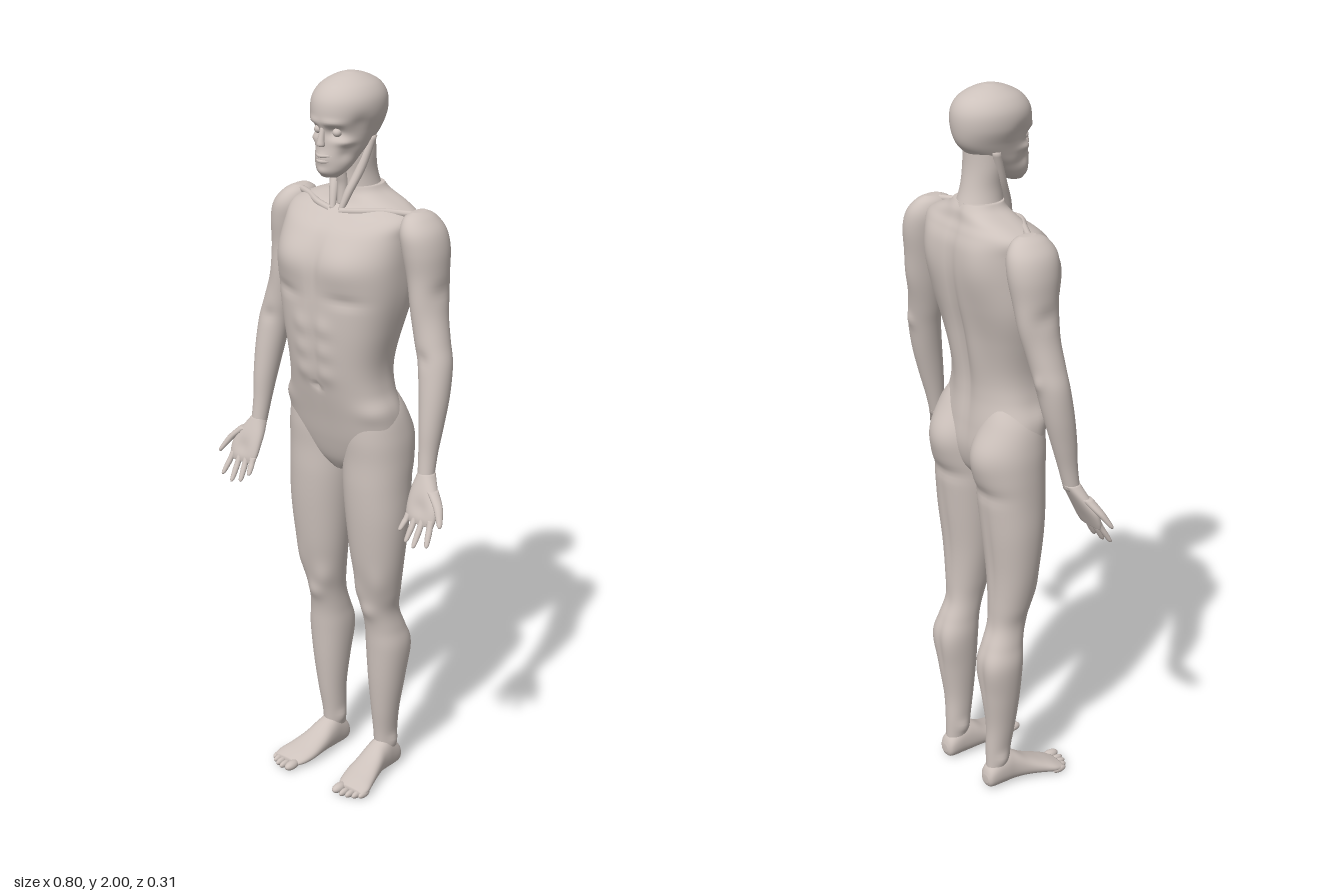
import * as THREE from 'three';

const skin = new THREE.MeshStandardMaterial({ color: 0xcdc2bc });
skin.name = 'pale clay';

// Smooth loft through horizontal cross-sections [y, xMin, xMax, zBack, zFront], listed bottom to top.
function loft(sections, { segs = 40, steps = 6, power = 0.9 } = {}) {
  const pos = [], index = [], n = sections.length;
  const at = i => sections[Math.min(n - 1, Math.max(0, i))];
  const spline = (a, b, c, d, t) =>
    0.5 * (2 * b + (c - a) * t + (2 * a - 5 * b + 4 * c - d) * t * t + (3 * b - a - 3 * c + d) * t * t * t);
  const bend = v => Math.sign(v) * Math.abs(v) ** power;
  const rows = (n - 1) * steps;
  const centres = [];
  for (let r = 0; r <= rows; r++) {
    const i = Math.min(n - 2, Math.floor(r / steps)), t = r / steps - i;
    const [y, x0, x1, z0, z1] = at(i).map((v, k) => spline(at(i - 1)[k], v, at(i + 1)[k], at(i + 2)[k], t));
    const cx = (x0 + x1) / 2, cz = (z0 + z1) / 2;
    centres.push([cx, y, cz]);
    for (let j = 0; j < segs; j++) {
      const a = (j / segs) * Math.PI * 2;
      pos.push(cx + bend(Math.sin(a)) * (x1 - x0) / 2, y, cz + bend(Math.cos(a)) * (z1 - z0) / 2);
    }
  }
  for (let r = 0; r < rows; r++) for (let j = 0; j < segs; j++) {
    const k = (j + 1) % segs, a = r * segs + j, b = r * segs + k;
    index.push(a, b, a + segs, b, b + segs, a + segs);
  }
  // end caps
  const low = pos.length / 3, top = rows * segs;
  pos.push(...centres[0], ...centres[rows]);
  for (let j = 0; j < segs; j++) {
    const k = (j + 1) % segs;
    index.push(low, k, j, low + 1, top + j, top + k);
  }
  const geo = new THREE.BufferGeometry();
  geo.setAttribute('position', new THREE.Float32BufferAttribute(pos, 3));
  geo.setIndex(index);
  geo.computeVertexNormals();
  return geo;
}

// Push the surface out (or in) around soft spots [x, y, z, rx, ry, rz, amount], same on both sides.
function sculpt(geo, spots) {
  const p = geo.attributes.position, nm = geo.attributes.normal;
  for (let i = 0; i < p.count; i++) {
    const x = p.getX(i), y = p.getY(i), z = p.getZ(i);
    let d = 0;
    for (const [sx, sy, sz, rx, ry, rz, amount] of spots)
      d += amount * Math.exp(-(((Math.abs(x) - sx) / rx) ** 2) - ((y - sy) / ry) ** 2 - ((z - sz) / rz) ** 2);
    p.setXYZ(i, x + nm.getX(i) * d, y + nm.getY(i) * d, z + nm.getZ(i) * d);
  }
  geo.computeVertexNormals();
  return geo;
}

// Tapering round strand through [x, y, z, radius], bottom to top.
const strand = pts => loft(pts.map(([x, y, z, r]) => [y, x - r, x + r, z - r, z + r]), { segs: 14, steps: 5, power: 1 });
const ball = (x, y, z, rx, ry, rz) => new THREE.SphereGeometry(1, 20, 14).scale(rx, ry, rz).translate(x, y, z);
const tube = (pts, r) => new THREE.TubeGeometry(
  new THREE.CatmullRomCurve3(pts.map(p => new THREE.Vector3(...p))), 24, r, 10);
const even = list => list.map(([y, w, z0, z1]) => [y, -w, w, z0, z1]);

function flip(geo) {
  const g = geo.clone().scale(-1, 1, 1), ix = g.index.array;
  for (let i = 0; i < ix.length; i += 3) [ix[i], ix[i + 1]] = [ix[i + 1], ix[i]];
  return g;
}

export function createModel() {
  const model = new THREE.Group();
  model.name = 'standingFigure';
  const add = (name, geo) => {
    const mesh = new THREE.Mesh(geo, skin);
    mesh.name = name;
    model.add(mesh);
  };
  const pair = (name, geo) => { add('left' + name, geo); add('right' + name, flip(geo)); };

  // Torso: pelvis, waist, ribcage and shoulder girdle
  add('torso', sculpt(loft(even([
    [0.93, 0.03, -0.06, 0.03], [0.97, 0.11, -0.09, 0.055], [1.03, 0.165, -0.105, 0.075], [1.10, 0.172, -0.1, 0.092],
    [1.18, 0.150, -0.09, 0.112], [1.25, 0.146, -0.092, 0.125], [1.35, 0.165, -0.11, 0.133], [1.45, 0.184, -0.135, 0.134],
    [1.53, 0.19, -0.147, 0.13], [1.60, 0.19, -0.146, 0.1], [1.64, 0.19, -0.135, 0.06], [1.665, 0.15, -0.125, 0.025],
    [1.69, 0.085, -0.12, 0.01], [1.71, 0.065, -0.11, 0.005],
  ]), { segs: 96, steps: 9, power: 0.82 }), [
    [0.085, 1.53, 0.13, 0.07, 0.055, 0.09, 0.012],                      // chest muscles
    [0, 1.53, 0.13, 0.014, 0.08, 0.06, -0.007],                         // breastbone groove
    ...[1.23, 1.295, 1.36].map(y => [0.036, y, 0.13, 0.026, 0.026, 0.06, 0.006]),
    [0, 1.3, 0.13, 0.009, 0.12, 0.05, -0.004], [0, 1.19, 0.115, 0.009, 0.009, 0.04, -0.008],
    [0.1, 1.44, 0.13, 0.05, 0.015, 0.06, -0.006],                       // rib arch
    [0.1, 1.57, -0.14, 0.055, 0.09, 0.06, 0.011],                       // shoulder blades
    [0.045, 1.28, -0.1, 0.03, 0.14, 0.05, 0.009],                       // lower back columns
    [0, 1.38, -0.13, 0.016, 0.3, 0.06, -0.011],                         // spine groove
    [0.16, 1.42, -0.04, 0.05, 0.09, 0.07, 0.006],                       // flanks
    [0.145, 1.13, 0.04, 0.04, 0.025, 0.06, 0.007],                      // hip crests
  ]));

  // Legs, from buttock to ankle
  pair('Leg', sculpt(loft([
    [0.05, 0.072, 0.122, -0.1, -0.03], [0.12, 0.066, 0.126, -0.1, -0.025], [0.2, 0.062, 0.137, -0.1, -0.014],
    [0.3, 0.053, 0.152, -0.113, -0.004], [0.4, 0.046, 0.162, -0.122, 0.002], [0.46, 0.048, 0.153, -0.108, 0.006],
    [0.52, 0.048, 0.146, -0.09, 0.018], [0.58, 0.04, 0.158, -0.085, 0.03], [0.68, 0.025, 0.175, -0.087, 0.05],
    [0.8, 0.012, 0.187, -0.1, 0.064], [0.9, 0.004, 0.188, -0.11, 0.07], [0.98, 0.003, 0.188, -0.12, 0.07],
    [1.05, 0.006, 0.184, -0.12, 0.073], [1.12, 0.02, 0.168, -0.095, 0.068], [1.17, 0.05, 0.135, -0.07, 0.05],
  ], { segs: 56, steps: 7, power: 0.95 }), [
    [0.085, 1.02, -0.12, 0.06, 0.06, 0.07, 0.014],                      // buttock
    [0.09, 0.925, -0.11, 0.07, 0.02, 0.05, -0.007],                     // buttock crease
    [0.097, 0.525, 0.02, 0.025, 0.025, 0.03, 0.007],                    // kneecap
    [0.065, 0.58, 0.02, 0.025, 0.04, 0.03, 0.007], [0.14, 0.62, 0.03, 0.025, 0.05, 0.03, 0.005],
    [0.07, 0.39, -0.11, 0.025, 0.07, 0.04, 0.006], [0.135, 0.4, -0.11, 0.025, 0.06, 0.04, 0.005],
    [0.1, 0.36, -0.12, 0.01, 0.09, 0.03, -0.004],                       // calf split
    [0.1, 0.5, -0.09, 0.025, 0.04, 0.03, -0.005],                       // hollow of the knee
    [0.1, 0.75, -0.1, 0.012, 0.15, 0.04, -0.004],
    [0.064, 0.1, -0.062, 0.015, 0.018, 0.02, 0.008], [0.128, 0.09, -0.066, 0.015, 0.018, 0.02, 0.008],
  ]));

  // Feet, lofted from heel to toes [z, xMin, xMax, bottom, top]
  const foot = loft([
    [-0.11, 0.085, 0.112, 0.018, 0.042], [-0.098, 0.07, 0.124, 0.002, 0.068], [-0.055, 0.065, 0.13, 0, 0.1],
    [-0.02, 0.062, 0.134, 0.002, 0.092], [0.02, 0.06, 0.145, 0.004, 0.067], [0.06, 0.06, 0.158, 0.002, 0.048],
    [0.095, 0.067, 0.169, 0, 0.034], [0.122, 0.08, 0.166, 0.003, 0.022],
  ].map(([z, a, b, lo, hi]) => [z, a, b, -hi, -lo]), { segs: 32, power: 0.9 }).rotateX(Math.PI / 2);
  pair('Foot', foot);
  for (let i = 0; i < 5; i++)
    pair('Toe' + (i + 1), ball([0.09, 0.113, 0.131, 0.148, 0.162][i], i ? 0.01 : 0.013, [0.13, 0.133, 0.128, 0.119, 0.107][i],
      i ? 0.0085 : 0.014, i ? 0.01 : 0.013, i ? 0.022 : 0.026));

  // Arms, from wrist to shoulder
  pair('Arm', sculpt(loft([
    [0.985, 0.276, 0.32, 0.002, 0.045], [1.05, 0.27, 0.32, -0.015, 0.038], [1.12, 0.262, 0.325, -0.036, 0.034],
    [1.2, 0.25, 0.329, -0.058, 0.025], [1.28, 0.234, 0.326, -0.074, 0.014], [1.34, 0.218, 0.31, -0.084, 0.01],
    [1.42, 0.2, 0.29, -0.098, 0.005], [1.5, 0.186, 0.283, -0.113, 0.01], [1.57, 0.172, 0.281, -0.124, 0.02],
    [1.62, 0.165, 0.268, -0.12, 0.02], [1.653, 0.172, 0.24, -0.1, 0], [1.667, 0.19, 0.215, -0.075, -0.03],
  ], { segs: 44, power: 0.98 }), [
    [0.24, 1.43, 0.005, 0.03, 0.06, 0.03, 0.006],                       // biceps
    [0.25, 1.44, -0.1, 0.03, 0.06, 0.03, 0.006],                        // triceps
    [0.285, 1.47, -0.05, 0.02, 0.025, 0.04, -0.006],                    // below the deltoid
    [0.28, 1.295, -0.075, 0.015, 0.02, 0.02, 0.006],                    // elbow
    [0.27, 1.3, 0.012, 0.02, 0.02, 0.02, -0.005],
  ]));

  // Hands with palms forward and thumbs outward
  pair('Palm', sculpt(loft([
    [0.876, 0.28, 0.362, 0.062, 0.08], [0.895, 0.27, 0.366, 0.052, 0.08], [0.925, 0.267, 0.364, 0.037, 0.073],
    [0.96, 0.268, 0.347, 0.019, 0.06], [1.0, 0.277, 0.32, -0.002, 0.043],
  ], { segs: 28, power: 0.85 }), [[0.318, 0.92, 0.075, 0.022, 0.025, 0.02, -0.006]]));
  const fingers = {
    LittleFinger: [0.281, 0.272, 0.852, 0.096], RingFinger: [0.304, 0.298, 0.828, 0.103],
    MiddleFinger: [0.328, 0.327, 0.822, 0.108], IndexFinger: [0.353, 0.366, 0.832, 0.102],
  };
  for (const [name, [x, tx, ty, tz]] of Object.entries(fingers)) {
    const point = (t, r) => [tx + (x - tx) * t, ty + (0.895 - ty) * t, tz + (0.067 - tz) * t, r];
    pair(name, strand([point(0, 0.003), point(0.1, 0.0065), point(0.45, 0.0085), point(0.7, 0.0085), point(1, 0.0105)]));
  }
  pair('Thumb', strand([[0.393, 0.888, 0.083, 0.003], [0.391, 0.895, 0.08, 0.007], [0.381, 0.913, 0.07, 0.01],
    [0.366, 0.935, 0.058, 0.013], [0.335, 0.965, 0.042, 0.016]]));

  // Neck, its straps, and the collarbones
  add('neck', loft(even([
    [1.62, 0.09, -0.125, 0.02], [1.68, 0.066, -0.118, 0.014], [1.74, 0.053, -0.1, 0.012],
    [1.8, 0.055, -0.09, 0.015], [1.87, 0.05, -0.09, 0],
  ]), { power: 1 }));
  pair('NeckStrap', strand([[0.014, 1.65, 0.035, 0.008], [0.026, 1.7, 0.016, 0.012], [0.042, 1.76, -0.012, 0.013], [0.056, 1.84, -0.04, 0.012]]));
  add('throat', strand([[0, 1.66, 0.014, 0.013], [0, 1.71, 0.01, 0.015], [0, 1.74, 0.016, 0.015], [0, 1.78, 0.025, 0.014]]));
  pair('Collarbone', tube([[0.016, 1.65, 0.04], [0.07, 1.657, 0.028], [0.13, 1.66, -0.008], [0.2, 1.657, -0.045]], 0.009));

  // Head with hollow sockets, cheekbones and jaw
  add('head', sculpt(loft(even([
    [1.745, 0.024, 0.035, 0.08], [1.765, 0.042, 0, 0.092], [1.80, 0.056, -0.04, 0.092], [1.83, 0.063, -0.085, 0.09],
    [1.86, 0.072, -0.113, 0.09], [1.90, 0.087, -0.124, 0.096], [1.94, 0.087, -0.122, 0.09], [1.97, 0.07, -0.103, 0.067],
    [1.99, 0.041, -0.067, 0.03], [2.0, 0.012, -0.03, -0.005],
  ]), { segs: 72, steps: 9, power: 0.98 }), [
    [0.032, 1.862, 0.085, 0.017, 0.014, 0.04, -0.017],                  // eye sockets
    [0.03, 1.888, 0.09, 0.03, 0.009, 0.03, 0.005],                      // brows
    [0.05, 1.838, 0.06, 0.016, 0.011, 0.03, 0.008],                     // cheekbones
    [0.048, 1.805, 0.05, 0.014, 0.016, 0.03, -0.007],                   // cheek hollows
    [0.08, 1.885, 0.03, 0.03, 0.025, 0.03, -0.006],                     // temples
    [0, 1.795, 0.09, 0.02, 0.014, 0.03, 0.006], [0, 1.762, 0.09, 0.016, 0.01, 0.03, 0.004],
  ]));
  pair('Eye', ball(0.031, 1.862, 0.067, 0.012, 0.011, 0.012));
  add('nose', strand([[0, 1.825, 0.09, 0.004], [0, 1.83, 0.094, 0.011], [0, 1.845, 0.093, 0.009], [0, 1.875, 0.086, 0.006]]));
  for (const [name, y] of [['upperLip', 1.803], ['lowerLip', 1.789]])
    add(name, tube([[-0.026, y, 0.08], [0, y, 0.098], [0.026, y, 0.08]], 0.0045));
  return model;
}
